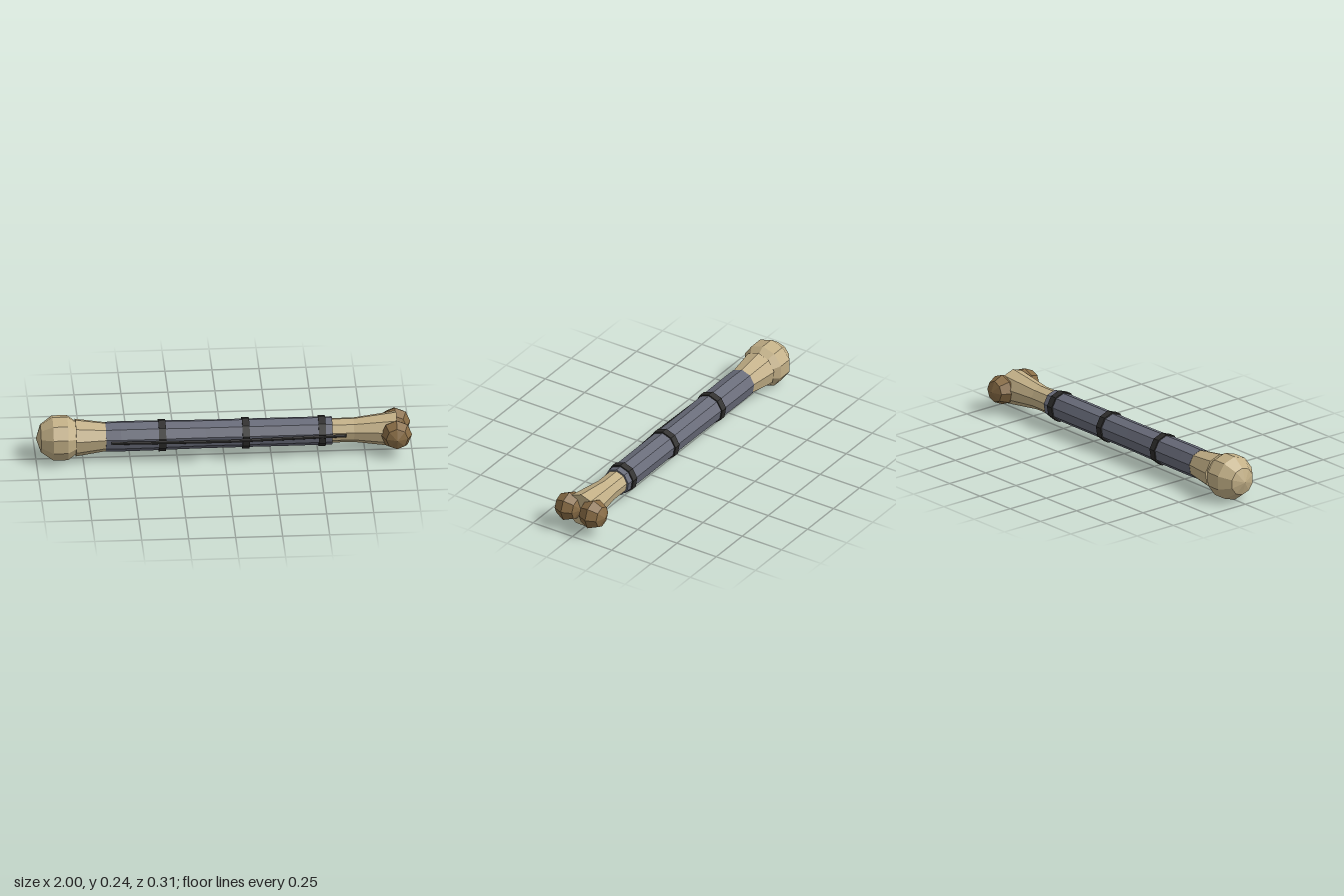
import * as THREE from 'three';

const AXIS_Y = 0.124;
const SIDES = 9;

const mat = (name, color) => {
  const m = new THREE.MeshStandardMaterial({ color, flatShading: true });
  m.name = name;
  return m;
};

// Closed faceted solid turned around the x axis from [x, radius] pairs
function turned(profile) {
  const first = profile[0], last = profile[profile.length - 1];
  const pts = [[first[0], 0], ...profile, [last[0], 0]].map(([x, r]) => new THREE.Vector2(r, x));
  return new THREE.LatheGeometry(pts, SIDES, -Math.PI / 2).rotateZ(-Math.PI / 2);
}

export function createModel() {
  const bone = mat('pale bone', 0xc2af86);
  const knuckle = mat('brown bone', 0x886c45);
  const cloth = mat('grey wrap', 0x676a78);
  const dark = mat('dark leather', 0x2c2b2a);

  const group = new THREE.Group();
  group.name = 'wrappedBone';
  const add = (name, geometry, material, x = 0, z = 0) => {
    const mesh = new THREE.Mesh(geometry, material);
    mesh.name = name;
    mesh.position.set(x, AXIS_Y, z);
    group.add(mesh);
    return mesh;
  };

  // Bone shaft flaring at both ends
  add('shaft', turned([
    [-0.79, 0.102], [-0.6, 0.074], [-0.3, 0.07], [0.3, 0.066], [0.69, 0.066], [0.917, 0.096],
  ]), bone);

  // Large rounded head on one end
  add('boneHead', new THREE.SphereGeometry(0.128, 10, 5).rotateZ(-Math.PI / 2), bone, -0.872);

  // Pair of knuckles on the other end
  for (const side of [1, -1]) {
    const ball = new THREE.SphereGeometry(1, 8, 4).rotateX(Math.PI / 2).scale(0.083, 0.083, 0.077);
    add(side > 0 ? 'frontKnuckle' : 'backKnuckle', ball, knuckle, 0.914, side * 0.077);
  }

  // Grip wrap
  add('gripWrap', turned([
    [-0.63, 0.08], [-0.55, 0.082], [-0.4, 0.081], [-0.1, 0.077], [0.1, 0.077], [0.4, 0.077], [0.575, 0.076],
  ]), cloth);

  // Binding bands
  for (const [x, r] of [[-0.33, 0.087], [0.115, 0.085], [0.52, 0.084]]) {
    add('band', turned([[-0.019, r], [0.019, r]]), dark, x);
  }

  // Cord along the front, bowed outward in the middle
  const path = new THREE.CurvePath();
  const knots = [[-0.6, 0.086], [0, 0.1], [0.645, 0.072]].map(([x, z]) => new THREE.Vector3(x, 0, z));
  path.add(new THREE.LineCurve3(knots[0], knots[1]));
  path.add(new THREE.LineCurve3(knots[1], knots[2]));
  add('cord', new THREE.TubeGeometry(path, 8, 0.009, 6), dark);
  for (const k of [knots[0], knots[2]]) {
    add('cordEnd', new THREE.CylinderGeometry(0.009, 0.009, 0.006, 6).rotateZ(Math.PI / 2), dark, k.x, k.z);
  }

  return group;
}
